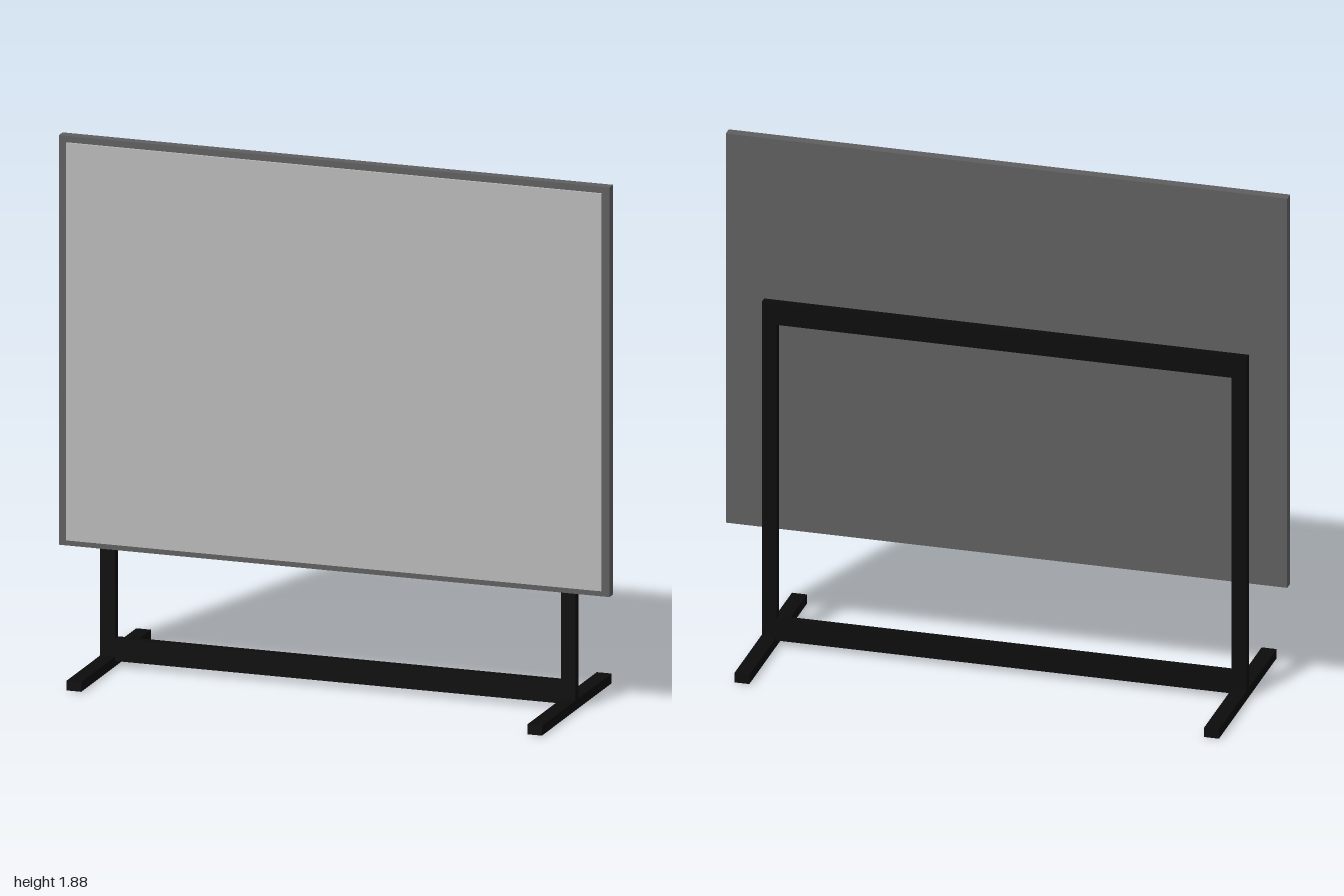
import * as THREE from 'three';

const material = (name, color) => {
  const m = new THREE.MeshStandardMaterial({ color });
  m.name = name;
  return m;
};

export function createModel() {
  const model = new THREE.Group();
  model.name = 'displayBoardOnStand';
  const black = material('black stand', 0x0c0c0c);
  const grey = material('dark grey casing', 0x5e5e5e);
  const pale = material('pale grey screen', 0xb8b8b8);

  // Box given by its lower and upper corners
  const box = (name, mat, [x0, y0, z0], [x1, y1, z1]) => {
    const mesh = new THREE.Mesh(new THREE.BoxGeometry(x1 - x0, y1 - y0, z1 - z0), mat);
    mesh.position.set((x0 + x1) / 2, (y0 + y1) / 2, (z0 + z1) / 2);
    mesh.name = name;
    model.add(mesh);
  };

  // Board: casing with a thin screen standing proud of its front
  box('casing', grey, [-1, 0.425, 0.013], [1, 1.88, 0.05]);
  box('screen', pale, [-0.972, 0.445, 0.05], [0.972, 1.857, 0.058]);

  // Feet and upright posts, one pair per side
  for (const [side, s] of [['left', 1], ['right', -1]]) {
    const [a, b] = s > 0 ? [0.81, 0.863] : [-0.863, -0.81];
    box(side + 'Foot', black, [a, 0, -0.355], [b, 0.035, 0.355]);
    box(side + 'Post', black, [a, 0.035, -0.017], [b, 1.28, 0.013]);
  }

  // Rails joining the posts
  box('lowerRail', black, [-0.81, 0.02, -0.017], [0.81, 0.1, 0.013]);
  box('upperRail', black, [-0.81, 1.2, -0.017], [0.81, 1.28, 0.013]);
  return model;
}
